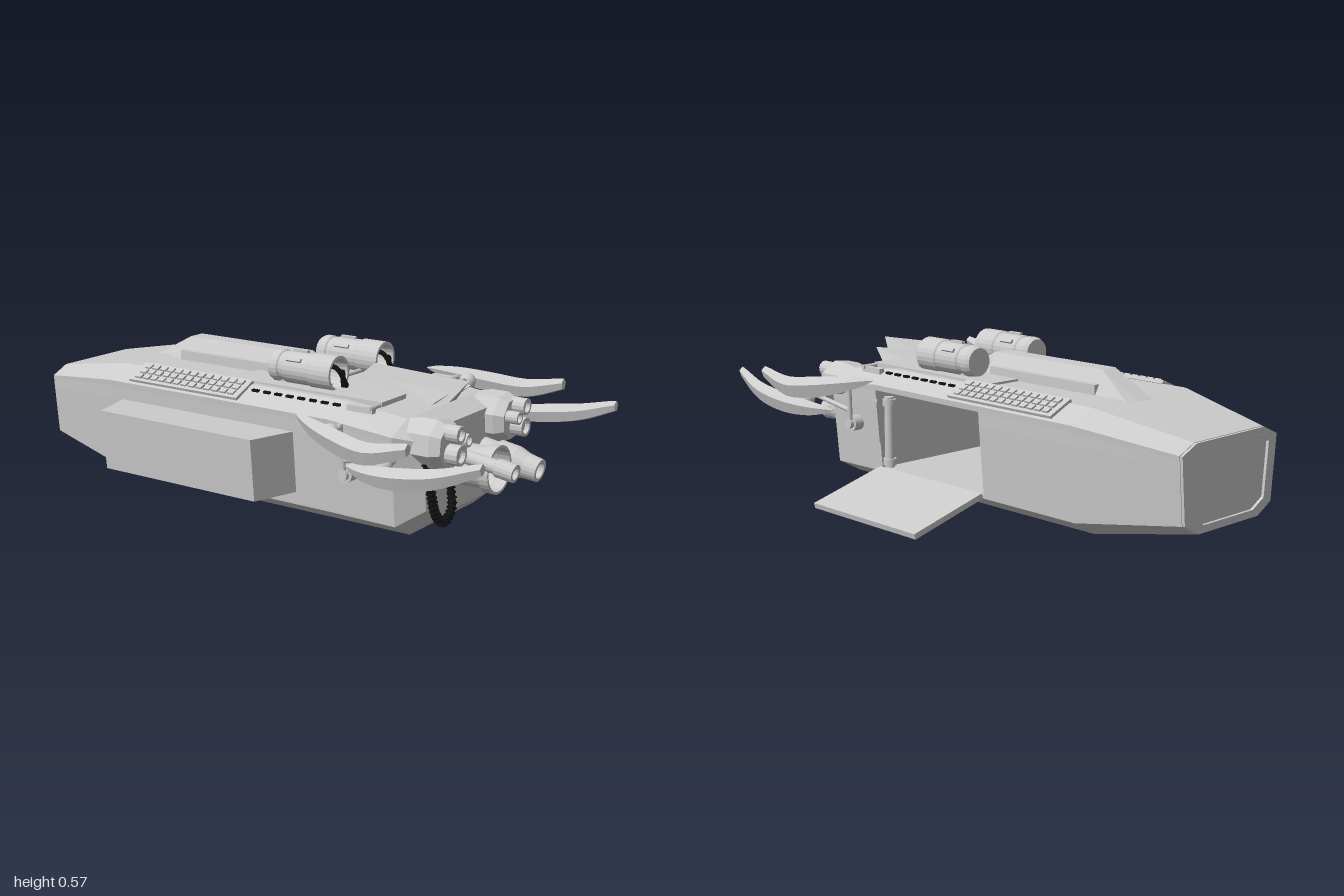
import * as THREE from 'three';

const CX = -0.035; // hull centre line
const V = (x, y, z) => new THREE.Vector3(x, y, z);
const grey = new THREE.MeshStandardMaterial({ color: 0xcccccc, flatShading: true, side: THREE.DoubleSide });
const smooth = new THREE.MeshStandardMaterial({ color: 0xcccccc, side: THREE.DoubleSide });
const black = new THREE.MeshStandardMaterial({ color: 0x111111 });

export function createModel() {
  const root = new THREE.Group();

  function add(name, geo, mat = grey, pos = [0, 0, 0], parent = root) {
    const m = new THREE.Mesh(geo, mat);
    m.name = name;
    m.position.set(...pos);
    parent.add(m);
    return m;
  }
  const box = (name, w, h, d, pos, parent) => add(name, new THREE.BoxGeometry(w, h, d), grey, pos, parent);

  // Skin over a list of rings of points, with end caps; skip(i, j) leaves openings
  function loft(rings, skip = () => false) {
    const p = [], n = rings[0].length;
    const tri = (...v) => v.forEach(q => p.push(q.x, q.y, q.z));
    for (let i = 0; i < rings.length - 1; i++) for (let j = 0; j < n; j++) {
      if (skip(i, j)) continue;
      const k = (j + 1) % n, a = rings[i][j], b = rings[i][k], c = rings[i + 1][k], d = rings[i + 1][j];
      tri(a, b, c); tri(a, c, d);
    }
    const f = rings[0], e = rings[rings.length - 1];
    for (let j = 1; j < n - 1; j++) { tri(f[0], f[j + 1], f[j]); tri(e[0], e[j], e[j + 1]); }
    const g = new THREE.BufferGeometry();
    g.setAttribute('position', new THREE.Float32BufferAttribute(p, 3));
    g.computeVertexNormals();
    return g;
  }
  // Turned part whose axis points along +z; points are [radius, z]
  function turned(name, pts, pos, seg = 24, parent = root) {
    const g = new THREE.LatheGeometry(pts.map(q => new THREE.Vector2(...q)), seg);
    g.rotateX(Math.PI / 2);
    return add(name, g, grey, pos, parent);
  }
  // Round bar between two points
  function rod(name, a, b, r, parent = root) {
    const m = add(name, new THREE.CylinderGeometry(r, r, a.distanceTo(b), 10), smooth, [0, 0, 0], parent);
    m.position.copy(a).add(b).multiplyScalar(0.5);
    m.quaternion.setFromUnitVectors(V(0, 1, 0), b.clone().sub(a).normalize());
    return m;
  }
  const tube = (name, pts, r, seg, mat) =>
    add(name, new THREE.TubeGeometry(new THREE.CatmullRomCurve3(pts), seg, r, 8), mat);

  // Hull: half profile from the roof edge down to the keel edge
  const half = [[0.24, 0.45], [0.335, 0.405], [0.333, 0.385], [0.33, 0.34], [0.311, 0.125], [0.308, 0.09], [0.307, 0.08], [0.212, 0.025]];
  const full = [...half, ...half.map(([x, y]) => [-x, y]).reverse()];
  const ring = (z, s, y0, y1) => full.map(([x, y]) => V(CX + x * s, y0 + (y - 0.025) / 0.425 * (y1 - y0), z));
  const hull = [ring(0.67, 0.8, 0.09, 0.395), ring(0.59, 1, 0.025, 0.425), ...[0.34, 0.2, -0.2, -0.62].map(z => ring(z, 1, 0.025, 0.45)), ring(-0.99, 0.725, 0.09, 0.385)];
  add('hull', loft(hull, (i, j) =>
    ((i === 2 || i === 3) && j >= 2 && j <= 4) || (i === 3 && j === 11)));

  // Rear frame around the stern panel
  const outline = s => full.map(([x, y]) => new THREE.Vector2(CX + x * 0.725 * s, 0.2375 + (y - 0.2375) * 0.694 * s));
  const frame = new THREE.Shape(outline(0.99));
  frame.holes.push(new THREE.Path(outline(0.82)));
  add('rearFrame', new THREE.ExtrudeGeometry(frame, { depth: 0.012, bevelEnabled: false }), grey, [0, 0, -1]);

  // Cabin behind the side opening
  box('cabinFloor', 0.61, 0.008, 0.54, [CX, 0.09, 0.07]);
  box('cabinCeiling', 0.65, 0.008, 0.54, [CX, 0.387, 0.07]);
  for (const z of [0.338, -0.2]) add('bulkhead', new THREE.ShapeGeometry(new THREE.Shape(full.map(([x, y]) => new THREE.Vector2(CX + x * 0.995, y)))), grey, [0, 0, z]);
  rod('doorPiston', V(0.26, 0.1, 0.31), V(0.26, 0.36, 0.31), 0.018);
  for (const y of [0.12, 0.34]) rod('pistonCollar', V(0.26, y - 0.012, 0.31), V(0.26, y + 0.012, 0.31), 0.025);

  // Lowered ramp
  const ramp = box('ramp', 0.315, 0.02, 0.54, [0.431, 0.05, 0.07]);
  ramp.rotation.z = -0.262;

  // Side compartment, open toward the cabin
  const bay = (x, y0, y1, z0, z1, lean) => [V(x, y1, z1), V(x, y1, z0), V(x + lean, y0, z0), V(x + lean, y0, z1)];
  const bayGeo = loft([bay(-0.532, 0.125, 0.34, -0.51, 0.15, 0.02), bay(-0.365, 0.125, 0.34, -0.56, 0.2, 0.02)]);
  bayGeo.setDrawRange(0, bayGeo.attributes.position.count);
  const kept = [], bp = bayGeo.attributes.position;
  for (let i = 0; i < bp.count; i += 3) { // drop the inner cap
    if ([0, 1, 2].every(k => bp.getX(i + k) > -0.37)) continue;
    for (let k = 0; k < 3; k++) kept.push(bp.getX(i + k), bp.getY(i + k), bp.getZ(i + k));
  }
  bayGeo.setAttribute('position', new THREE.Float32BufferAttribute(kept, 3));
  bayGeo.computeVertexNormals();
  bayGeo.setDrawRange(0, Infinity);
  add('sideCompartment', bayGeo);

  // Roof plate and sloped-end spine
  box('roofPlate', 0.44, 0.016, 0.62, [CX, 0.45, 0.17]);
  const spineRing = (z, y, w) => [V(-0.03 + w, y, z), V(0.055, 0.44, z), V(-0.115, 0.44, z), V(-0.03 - w, y, z)];
  add('spine', loft([spineRing(0.18, 0.45, 0.032), spineRing(0.02, 0.53, 0.032), spineRing(-0.49, 0.53, 0.032), spineRing(-0.65, 0.445, 0.032)]));
  for (const s of [-1, 1]) box('spineRail', 0.025, 0.04, 0.5, [-0.03 + s * 0.068, 0.465, -0.25]);

  // Roof fins: ridged wedges pointing forward
  const finRing = (x, w, zb, zt, yt) => [V(x, yt, zt), V(x + w, 0.435, zb), V(x - w, 0.435, zb)];
  for (const [x, w, z0, z1, y] of [[-0.023, 0.024, 0.2, 0.67, 0.525], [-0.094, 0.018, 0.31, 0.64, 0.495], [0.046, 0.018, 0.31, 0.64, 0.495]])
    add('roofFin', loft([finRing(x, w, z1 - 0.06, z1, y - 0.015), finRing(x, w, z0, z0 + 0.1, y)]));

  // Roof vents with raised cells
  for (const s of [-1, 1]) {
    const vent = new THREE.Group();
    vent.name = 'roofVent';
    vent.position.set(CX + s * 0.278, 0.436, -0.285);
    vent.rotation.z = -s * 0.43;
    root.add(vent);
    box('ventPlate', 0.105, 0.012, 0.49, [0, 0, 0], vent);
    for (let i = 0; i < 13; i++) for (let j = -1; j <= 1; j++)
      box('ventCell', 0.022, 0.01, 0.026, [j * 0.029, 0.008, -0.21 + i * 0.035], vent);
    // Black cable clips running forward from the vent
    for (let i = 0; i < 8; i++)
      add('cableClip', new THREE.BoxGeometry(0.012, 0.008, 0.026), black, [CX + s * 0.27, 0.44, i * 0.048]);
    box('barPost', 0.022, 0.02, 0.1, [CX + s * 0.268, 0.44, 0.43]);
  }
  rod('crossBar', V(-0.32, 0.448, 0.47), V(0.25, 0.448, 0.47), 0.008);

  // Roof drums with black coils in their open mouths
  for (const x of [-0.175, 0.113]) {
    turned('roofDrum', [[0, 0], [0.05, 0], [0.057, 0.015], [0.057, 0.04], [0.052, 0.045], [0.052, 0.06], [0.057, 0.065], [0.057, 0.17], [0.062, 0.175], [0.062, 0.265], [0.052, 0.265], [0.048, 0.17], [0, 0.17]], [x, 0.508, -0.01]);
    for (const a of [-0.9, 0, 0.9]) {
      const lug = box('drumLug', 0.014, 0.01, 0.06, [x + Math.sin(a) * 0.06, 0.508 + Math.cos(a) * 0.06, 0.1]);
      lug.rotation.z = -a;
    }
    box('drumMount', 0.06, 0.03, 0.05, [x, 0.45, 0.19]);
    box('drumMount', 0.06, 0.03, 0.04, [x, 0.45, 0.04]);
    tube('drumCoil', [V(x - 0.015, 0.53, 0.17), V(x - 0.01, 0.53, 0.25), V(x + 0.008, 0.48, 0.275), V(x + 0.028, 0.465, 0.265), V(x + 0.025, 0.5, 0.25), V(x, 0.515, 0.27), V(x + 0.005, 0.465, 0.27)], 0.009, 40, black);
  }
  rod('drumLink', V(-0.175, 0.465, 0.18), V(0.113, 0.465, 0.18), 0.008);

  // Octagonal nose pods, three lenses each
  for (const s of [-1, 1]) {
    const x = CX + s * 0.21;
    const pod = turned('nosePod', [[0, -0.1], [0.07, -0.1], [0.088, -0.02], [0.088, 0.04], [0.072, 0.075], [0, 0.075]], [x, 0.352, 0.66], 8);
    pod.rotation.z = Math.PI / 8 + s * 0.12;
    for (const [dx, dy, r] of [[s * 0.012, 0.045, 0.029], [s * 0.008, -0.025, 0.034], [-s * 0.04, 0.015, 0.022]])
      turned('podLens', [[r, 0], [r, 0.055], [r * 0.7, 0.055], [r * 0.6, 0.04], [0, 0.04]], [x + dx, 0.352 + dy, 0.725], 14);
  }

  // Central intake ring and the two nose barrels
  turned('intakeRing', [[0.072, 0], [0.072, 0.1], [0.083, 0.105], [0.083, 0.14], [0.074, 0.14], [0.07, 0.03], [0, 0.03]], [CX, 0.232, 0.66], 28);
  const slim = turned('slimBarrel', [[0.034, 0], [0.034, 0.06], [0.024, 0.065], [0.024, 0.19], [0.031, 0.195], [0.031, 0.26], [0.02, 0.26], [0.018, 0.2], [0, 0.2]], [-0.137, 0.302, 0.655], 16);
  slim.rotation.x = 0.15;
  const wide = turned('wideBarrel', [[0.045, 0], [0.045, 0.06], [0.055, 0.07], [0.055, 0.14], [0.044, 0.18], [0.04, 0.23], [0.028, 0.23], [0.025, 0.17], [0, 0.17]], [0.097, 0.25, 0.655], 20);
  wide.rotation.x = 0.17;

  // Ribbed black hose hanging under the nose
  const hose = [V(-0.288, 0.29, 0.67), V(-0.28, 0.2, 0.685), V(-0.25, 0.11, 0.69), V(-0.195, 0.075, 0.69), V(-0.15, 0.115, 0.69), V(-0.134, 0.19, 0.67)];
  tube('hose', hose, 0.013, 40, black);
  const curve = new THREE.CatmullRomCurve3(hose);
  for (let i = 0; i <= 24; i++) {
    const r = add('hoseRib', new THREE.TorusGeometry(0.014, 0.004, 6, 10), black);
    r.position.copy(curve.getPointAt(i / 24));
    r.lookAt(r.position.clone().add(curve.getTangentAt(i / 24)));
  }

  // Curved claw blades on jointed arms, mirrored about x = -0.05
  const claw = (pts, w, h) => {
    const c = new THREE.CatmullRomCurve3(pts), rings = [];
    for (let i = 0; i <= 16; i++) {
      const t = i / 16, p = c.getPoint(1 - t), k = 0.06 + 0.94 * Math.pow(Math.sin(Math.PI * Math.min(1, 0.12 + t * 0.88)), 0.7);
      rings.push([[0, 1], [1, 0.25], [0.5, -1], [-0.6, -0.8], [-1, 0.3]].map(([a, b]) => V(p.x + a * w * k, p.y + b * h * k, p.z)));
    }
    return loft(rings);
  };
  for (const s of [-1, 1]) {
    const arm = new THREE.Group();
    arm.name = s > 0 ? 'leftArm' : 'rightArm';
    arm.position.x = -0.05;
    arm.scale.x = s;
    root.add(arm);
    rod('armBase', V(0.32, 0.25, 0.45), V(0.375, 0.25, 0.45), 0.028, arm);
    rod('armHub', V(0.365, 0.25, 0.45), V(0.39, 0.25, 0.45), 0.018, arm);
    rod('upright', V(0.378, 0.24, 0.45), V(0.39, 0.42, 0.44), 0.009, arm);
    rod('upperLink', V(0.385, 0.41, 0.44), V(0.45, 0.4, 0.435), 0.01, arm);
    rod('foreLink', V(0.38, 0.3, 0.45), V(0.385, 0.33, 0.64), 0.009, arm);
    rod('lowerLink', V(0.385, 0.33, 0.64), V(0.45, 0.325, 0.635), 0.01, arm);
    for (const [y, z] of [[0.4, 0.435], [0.325, 0.635]])
      add('joint', new THREE.SphereGeometry(0.031, 14, 10), smooth, [0.435, y, z], arm);
    add('upperClaw', claw([V(0.41, 0.435, 0.28), V(0.455, 0.415, 0.38), V(0.49, 0.395, 0.5), V(0.518, 0.385, 0.63), V(0.52, 0.42, 0.775)], 0.032, 0.038), grey, [0, 0, 0], arm);
    add('lowerClaw', claw([V(0.43, 0.3, 0.49), V(0.46, 0.3, 0.58), V(0.485, 0.31, 0.7), V(0.488, 0.335, 0.85), V(0.467, 0.385, 1)], 0.03, 0.035), grey, [0, 0, 0], arm);
  }
  return root;
}
